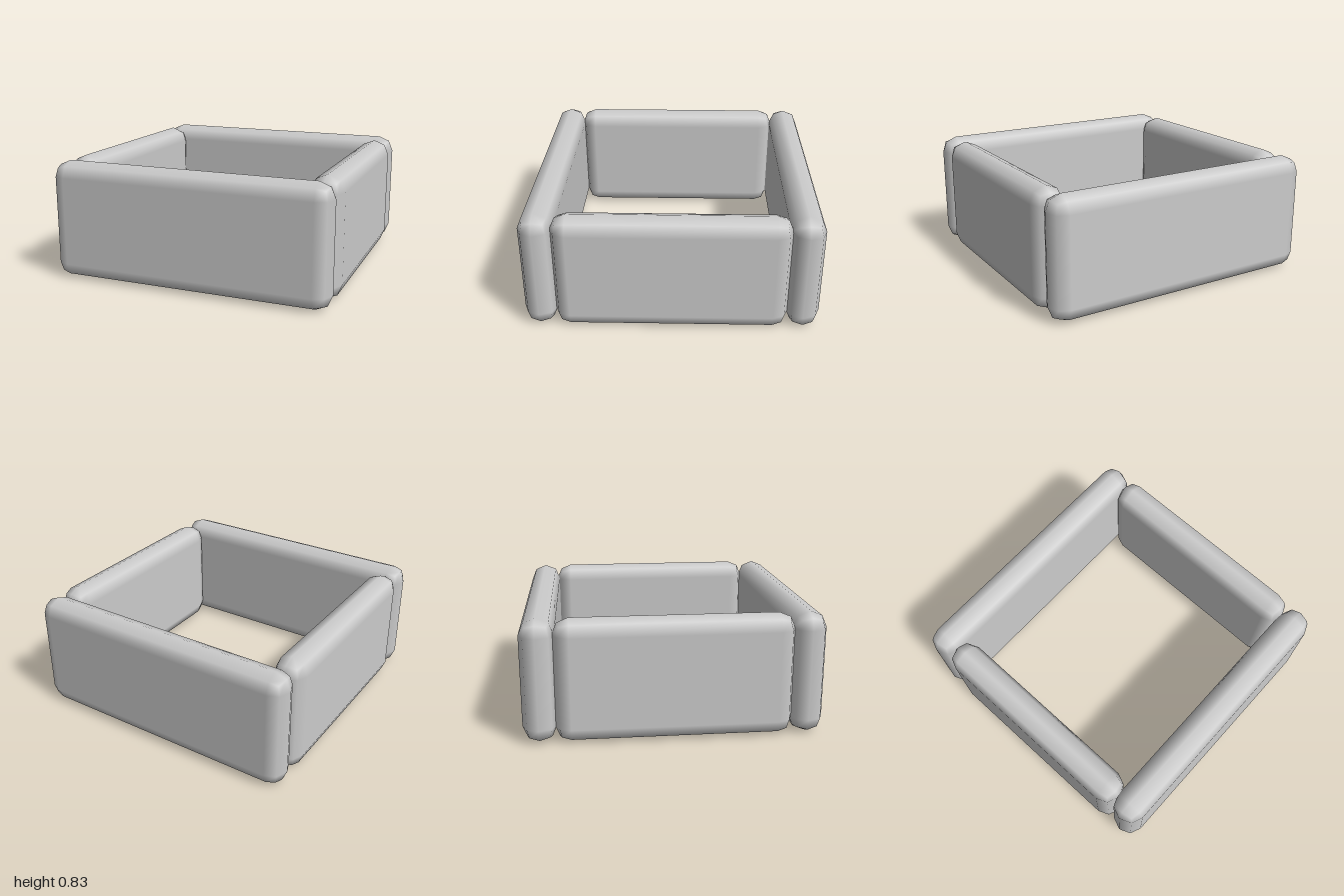
import * as THREE from 'three';
import { RoundedBoxGeometry } from 'three/addons/geometries/RoundedBoxGeometry.js';

export function createModel() {
  const group = new THREE.Group();
  const lightGrey = new THREE.MeshStandardMaterial({ color: 0xcccccc });
  lightGrey.name = 'lightGrey';

  const height = 0.83, thickness = 0.226, radius = 0.108;
  const offset = 1 - thickness / 2;

  // one upright panel with softly bevelled edges
  function addPanel(name, length, x, z, turn) {
    const geometry = new RoundedBoxGeometry(length, height, thickness, 1, radius);
    const panel = new THREE.Mesh(geometry, lightGrey);
    panel.name = name;
    panel.position.set(x, height / 2, z);
    panel.rotation.y = turn;
    group.add(panel);
  }

  // long panels at front and back, shorter ones between them
  for (const side of [1, -1]) {
    addPanel(side > 0 ? 'frontPanel' : 'backPanel', 1.986, 0, side * offset, 0);
    addPanel(side > 0 ? 'leftPanel' : 'rightPanel', 1.578, side * offset, 0, Math.PI / 2);
  }

  return group;
}
